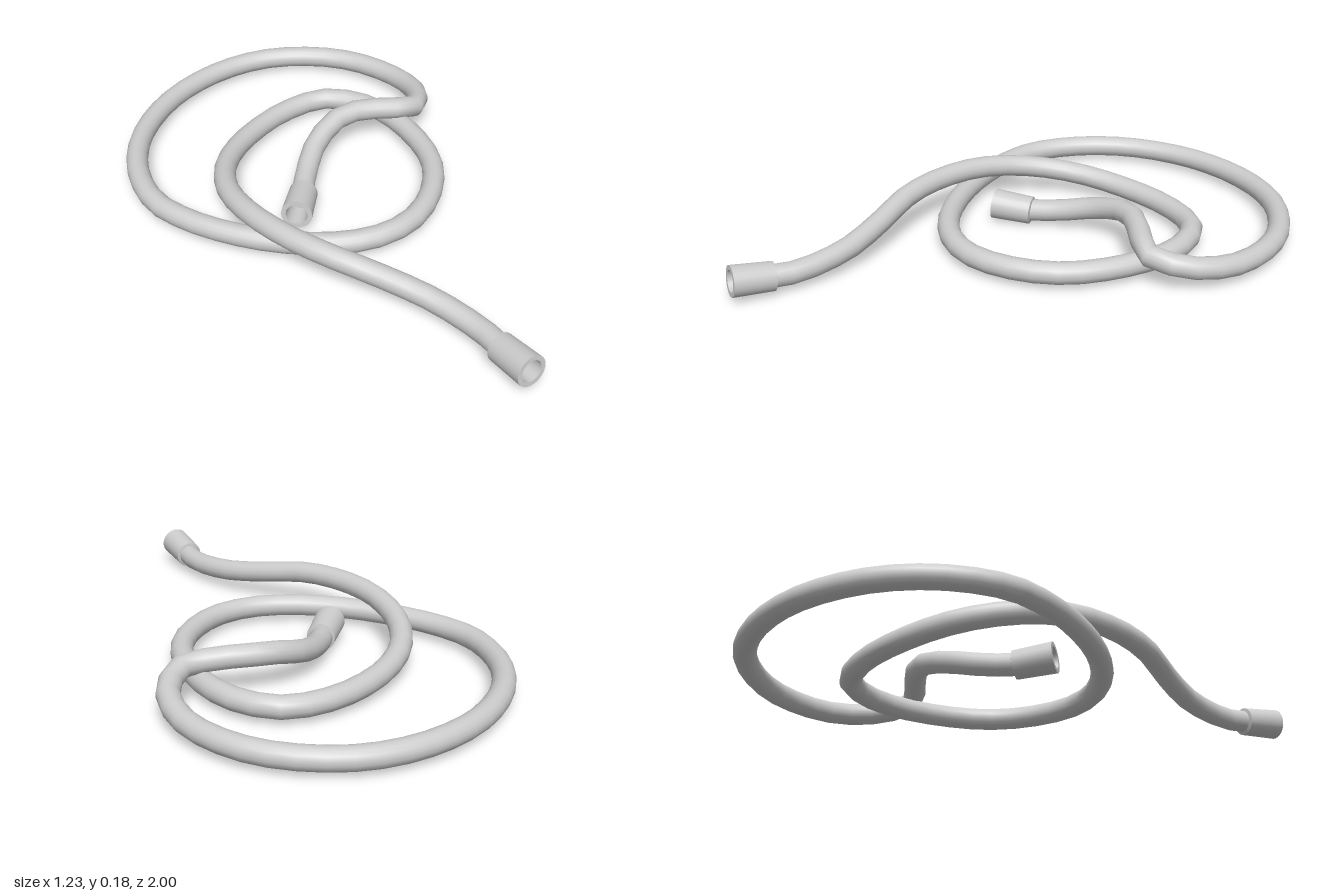
import * as THREE from 'three';

const material = new THREE.MeshStandardMaterial({ color: 0xcccccc, side: THREE.DoubleSide });
const TUBE_RADIUS = 0.039;

// Centre line of the hose, from the front end to the inner end
const path = [
  [-0.162, 0.066, 0.87], [-0.152, 0.062, 0.77], [-0.185, 0.076, 0.58], [-0.26, 0.104, 0.415],
  [-0.34, 0.132, 0.27], [-0.395, 0.14, 0.11], [-0.415, 0.134, -0.08], [-0.38, 0.11, -0.26],
  [-0.28, 0.085, -0.41], [-0.12, 0.066, -0.515], [0.1, 0.058, -0.57], [0.27, 0.058, -0.54],
  [0.36, 0.058, -0.42], [0.385, 0.058, -0.26], [0.335, 0.058, -0.02], [0.24, 0.058, 0.115],
  [0.08, 0.058, 0.215], [-0.065, 0.058, 0.228], [-0.21, 0.058, 0.175], [-0.35, 0.058, 0.06],
  [-0.465, 0.058, -0.09], [-0.55, 0.058, -0.265], [-0.58, 0.058, -0.42], [-0.525, 0.058, -0.62],
  [-0.395, 0.058, -0.79], [-0.18, 0.058, -0.92], [0.06, 0.058, -0.961], [0.265, 0.058, -0.92],
  [0.435, 0.058, -0.8], [0.53, 0.06, -0.66], [0.573, 0.067, -0.475], [0.54, 0.088, -0.315],
  [0.44, 0.113, -0.222], [0.345, 0.13, -0.257], [0.24, 0.138, -0.308], [0.15, 0.131, -0.32],
  [0.03, 0.097, -0.288], [-0.09, 0.06, -0.197], [-0.165, 0.052, -0.12],
].map(p => new THREE.Vector3(...p));

// Hollow end fitting running from point a to its open mouth at point b
function makeFitting(name, a, b) {
  const start = new THREE.Vector3(...a);
  const dir = new THREE.Vector3(...b).sub(start);
  const len = dir.length();
  // Each pair of profile points is its own lathe so the rims stay sharp
  const profile = [
    [0.036, 0], [0.05, 0.004], [0.054, len], [0.038, len], [0.032, len - 0.085], [0, len - 0.085],
  ].map(p => new THREE.Vector2(...p));
  const group = new THREE.Group();
  group.name = name;
  const parts = ['collar', 'sleeve', 'rim', 'bore', 'boreFloor'];
  parts.forEach((part, i) => {
    const mesh = new THREE.Mesh(new THREE.LatheGeometry([profile[i], profile[i + 1]], 24), material);
    mesh.name = part;
    group.add(mesh);
  });
  group.position.copy(start);
  group.quaternion.setFromUnitVectors(new THREE.Vector3(0, 1, 0), dir.normalize());
  return group;
}

export function createModel() {
  const model = new THREE.Group();
  model.name = 'coiledHose';

  // Hose
  const curve = new THREE.CatmullRomCurve3(path, false, 'centripetal');
  const hose = new THREE.Mesh(new THREE.TubeGeometry(curve, 84, TUBE_RADIUS, 16), material);
  hose.name = 'hose';
  model.add(hose);

  // End fittings
  model.add(makeFitting('frontFitting', [-0.16, 0.064, 0.847], [-0.172, 0.08, 0.992]));
  model.add(makeFitting('innerFitting', [-0.145, 0.052, -0.137], [-0.25, 0.063, -0.04]));
  return model;
}
